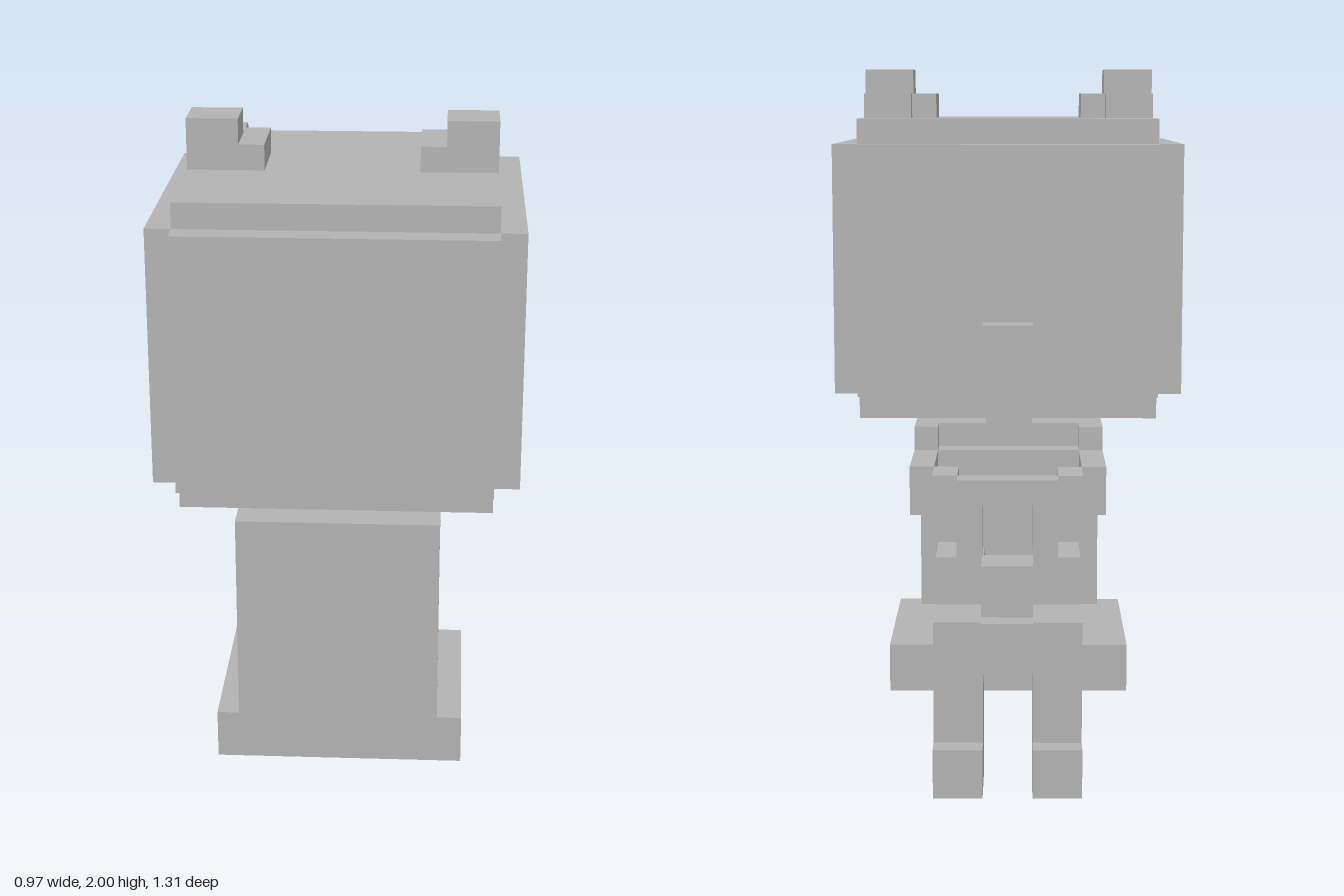
import * as THREE from 'three';

// Everything sits on a block grid: 29 units tall, 19 units deep.
const U = 2 / 29;
const grey = new THREE.MeshStandardMaterial({ color: 0xb2b2b2 });
grey.name = 'plain grey';

// Box from grid ranges; depth runs from 0 (face side) to 19 (rear).
function block(parent, name, [x0, x1], [y0, y1], [z0, z1]) {
  const geo = new THREE.BoxGeometry((x1 - x0) * U, (y1 - y0) * U, (z1 - z0) * U);
  const mesh = new THREE.Mesh(geo, grey);
  mesh.name = name;
  mesh.position.set((x0 + x1) / 2 * U, (y0 + y1) / 2 * U, ((z0 + z1) / 2 - 9.5) * U);
  parent.add(mesh);
}

function part(parent, name) {
  const group = new THREE.Group();
  group.name = name;
  parent.add(group);
  return group;
}

// The same block on both sides of the body.
function pair(parent, name, [x0, x1], y, z) {
  block(parent, name + 'Left', [x0, x1], y, z);
  block(parent, name + 'Right', [-x1, -x0], y, z);
}

export function createModel() {
  const model = new THREE.Group();
  model.name = 'seatedBlockFigure';

  // Chair
  const chair = part(model, 'chair');
  block(chair, 'seat', [-5, 5], [3, 5], [8, 16]);
  block(chair, 'backrest', [-4, 4], [5, 14], [15, 17]);

  // Head: core with a raised panel on each side
  const head = part(model, 'head');
  block(head, 'headCore', [-6, 6], [15, 27], [6, 18]);
  block(head, 'facePanel', [-6, 6], [16, 26], [5, 6]);
  block(head, 'rearPanel', [-6, 6], [16, 26], [18, 19]);
  pair(head, 'sidePanel', [6, 7], [16, 26], [6, 18]);
  block(head, 'nose', [-1, 1], [18, 19], [4, 5]);

  // Ears
  const ears = part(model, 'ears');
  pair(ears, 'earBase', [3, 6], [27, 28], [10, 13]);
  pair(ears, 'earTip', [4, 6], [28, 29], [11, 13]);
  pair(ears, 'earNub', [4, 5], [27, 28], [9, 10]);

  // Torso
  const torso = part(model, 'torso');
  block(torso, 'neck', [-1, 1], [13, 15], [11, 13]);
  block(torso, 'trunk', [-3, 3], [5, 13], [10, 14]);
  block(torso, 'shoulders', [-3, 3], [12, 14], [11, 13]);
  block(torso, 'belly', [-2, 2], [9, 11], [9, 10]);
  block(torso, 'upperBack', [-2, 2], [10, 13], [14, 15]);

  // Arms
  const arms = part(model, 'arms');
  pair(arms, 'shoulder', [3, 4], [12, 14], [10, 13]);
  pair(arms, 'forearm', [3, 4], [11, 13], [6, 11]);
  pair(arms, 'hand', [2, 3], [11, 13], [4, 6]);

  // Legs
  const legs = part(model, 'legs');
  pair(legs, 'hip', [1, 3], [5, 9], [7, 10]);
  pair(legs, 'thigh', [1, 3], [5, 7], [4, 7]);
  pair(legs, 'shin', [1, 3], [0, 5], [4, 6]);
  pair(legs, 'foot', [1, 3], [0, 2], [3, 4]);

  // Held frame with blocks hanging in front
  const held = part(model, 'heldItem');
  block(held, 'frameBar', [-2, 2], [12, 13], [3, 4]);
  pair(held, 'framePost', [1, 2], [9, 12], [3, 4]);
  block(held, 'upperBlock', [-1, 1], [8, 10], [1, 3]);
  block(held, 'lowerBlock', [-1, 1], [6, 8], [0, 1]);

  return model;
}
